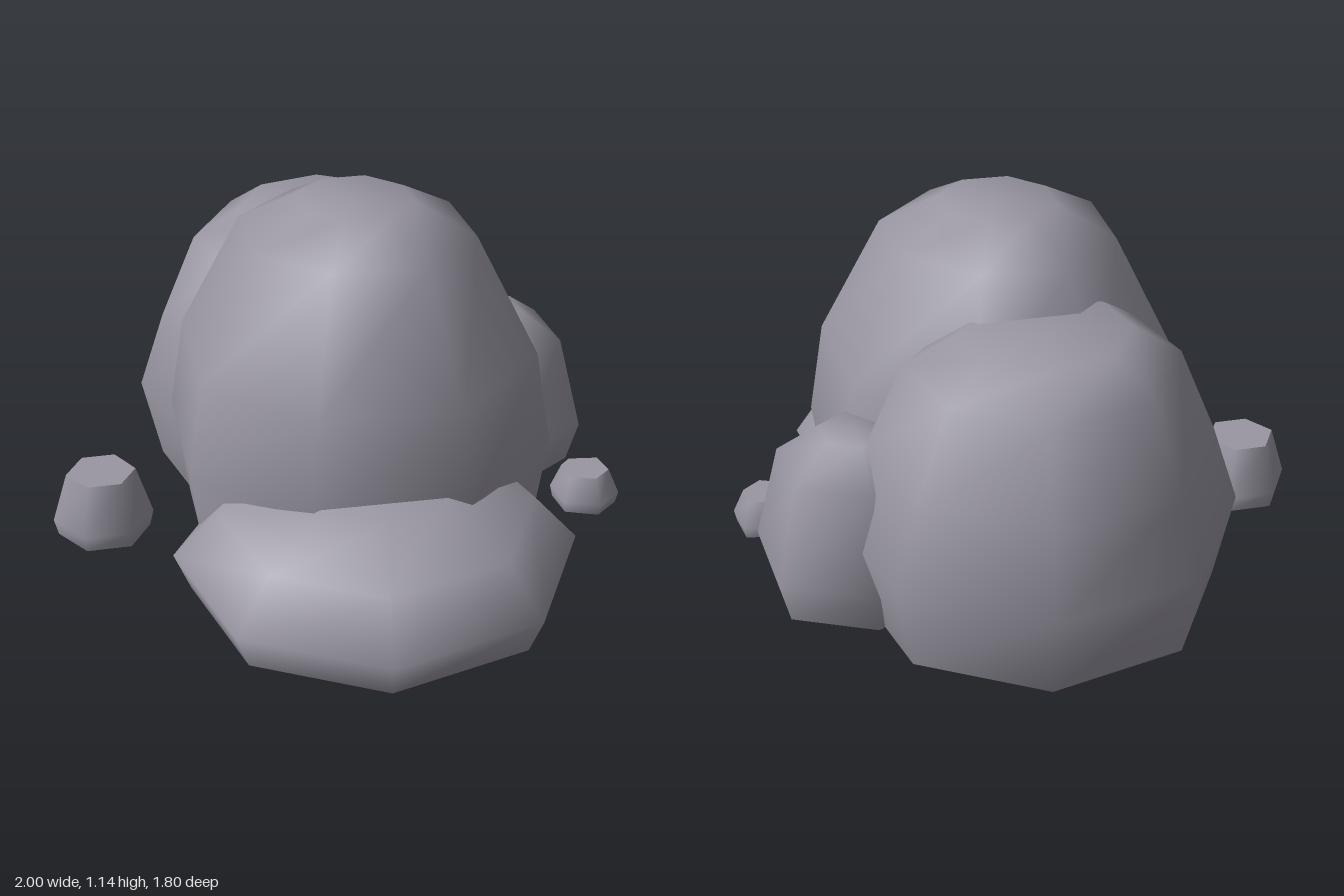
import * as THREE from 'three';

const stone = new THREE.MeshStandardMaterial({ color: 0x9a97a3 });
stone.name = 'greyStone';

// Stone: an outline of [x, z] corners scaled about a centre at each [height, scale] level.
function makeStone(name, [cx, cz], outline, levels, sharpTop = false) {
  const n = outline.length;
  const pos = [];
  const index = [];
  const addRing = ([y, s]) => {
    const start = pos.length / 3;
    for (const [x, z] of outline) pos.push(cx + (x - cx) * s, y, cz + (z - cz) * s);
    return start;
  };
  const addCap = (ring, y, up) => {
    const c = pos.length / 3;
    pos.push(cx, y, cz);
    for (let i = 0; i < n; i++) {
      const a = ring + i, b = ring + (i + 1) % n;
      index.push(c, ...(up ? [b, a] : [a, b]));
    }
  };

  // sides
  const rings = levels.map(addRing);
  for (let r = 0; r < rings.length - 1; r++) {
    for (let i = 0; i < n; i++) {
      const j = (i + 1) % n;
      const a = rings[r] + i, b = rings[r] + j;
      const c = rings[r + 1] + i, d = rings[r + 1] + j;
      index.push(a, c, b, b, c, d);
    }
  }

  // top, smooth or with a hard rim, and a flat base with a hard rim
  const top = levels[levels.length - 1];
  addCap(sharpTop ? addRing(top) : rings[rings.length - 1], top[0], true);
  addCap(addRing(levels[0]), levels[0][0], false);

  const geometry = new THREE.BufferGeometry();
  geometry.setAttribute('position', new THREE.Float32BufferAttribute(pos, 3));
  geometry.setIndex(index);
  geometry.computeVertexNormals();
  const mesh = new THREE.Mesh(geometry, stone);
  mesh.name = name;
  return mesh;
}

export function createModel() {
  const group = new THREE.Group();
  group.name = 'rockPile';

  group.add(
    makeStone('mainBoulder', [0.03, 0.04],
      [[0.65, 0.08], [0.42, 0.51], [-0.03, 0.65], [-0.47, 0.43],
        [-0.59, -0.01], [-0.39, -0.41], [0.07, -0.56], [0.5, -0.38]],
      [[0, 0.92], [0.34, 1], [0.65, 0.92], [1.04, 0.6], [1.14, 0.3]]),

    makeStone('sideBoulder', [-0.43, -0.15],
      [[0.12, -0.25], [0.02, 0.15], [-0.33, 0.47], [-0.74, 0.38],
        [-1, -0.03], [-0.89, -0.51], [-0.48, -0.77], [-0.05, -0.67]],
      [[0, 0.9], [0.28, 1], [0.54, 0.86], [0.82, 0.67], [0.92, 0.42]]),

    makeStone('flatSlab', [0.42, 0.26],
      [[1, 0.1], [0.9, 0.59], [0.5, 0.86], [0.02, 0.76],
        [-0.2, 0.4], [-0.13, -0.06], [0.28, -0.38], [0.72, -0.3]],
      [[0, 0.92], [0.12, 1], [0.28, 0.78], [0.38, 0.39]]),

    makeStone('backStone', [-0.02, -0.57],
      [[0.28, -0.45], [0.04, -0.25], [-0.28, -0.37],
        [-0.31, -0.7], [-0.06, -0.9], [0.24, -0.78]],
      [[0, 0.88], [0.14, 1], [0.46, 0.76], [0.56, 0.35]]),

    makeStone('frontPebble', [-0.41, 0.75],
      [[-0.25, 0.74], [-0.32, 0.88], [-0.48, 0.9],
        [-0.57, 0.76], [-0.5, 0.62], [-0.33, 0.61]],
      [[0, 0.92], [0.055, 1], [0.22, 0.69]], true),

    makeStone('backPebble', [0.44, -0.61],
      [[0.555, -0.58], [0.465, -0.5], [0.355, -0.54],
        [0.335, -0.61], [0.415, -0.725], [0.53, -0.69]],
      [[0, 0.92], [0.04, 1], [0.125, 0.69]], true),
  );
  return group;
}
